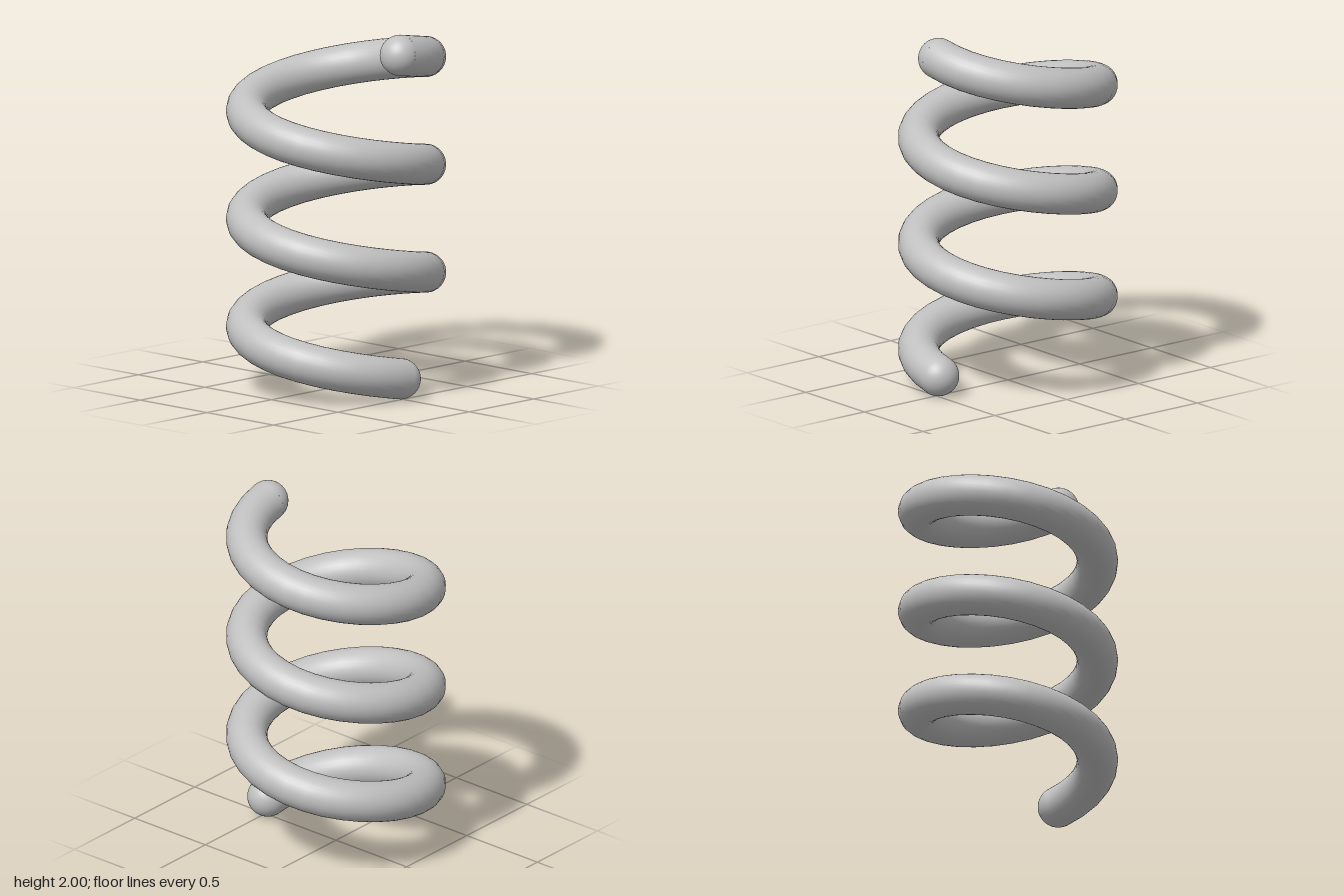
import * as THREE from 'three';

const COIL_RADIUS = 0.483;
const WIRE_RADIUS = 0.111;
const TURNS = 3;
const HEIGHT = 2;

// Helix rising from +x, turning first towards the front
class Helix extends THREE.Curve {
  getPoint(t, target = new THREE.Vector3()) {
    const angle = t * TURNS * Math.PI * 2;
    return target.set(
      COIL_RADIUS * Math.cos(angle),
      WIRE_RADIUS + t * (HEIGHT - 2 * WIRE_RADIUS),
      COIL_RADIUS * Math.sin(angle)
    );
  }
}

export function createModel() {
  const group = new THREE.Group();
  group.name = 'spring';
  const steel = new THREE.MeshStandardMaterial({ color: 0xc0c0c0 });
  steel.name = 'grey steel';

  // Coiled wire
  const path = new Helix();
  const coil = new THREE.Mesh(new THREE.TubeGeometry(path, 32 * TURNS, WIRE_RADIUS, 32), steel);
  coil.name = 'coil';
  group.add(coil);

  // Rounded wire ends: hemispheres pointing out along the wire
  const capGeometry = new THREE.SphereGeometry(WIRE_RADIUS, 32, 12, 0, Math.PI * 2, 0, Math.PI / 2);
  const up = new THREE.Vector3(0, 1, 0);
  for (const [name, t, sign] of [['bottomEnd', 0, -1], ['topEnd', 1, 1]]) {
    const cap = new THREE.Mesh(capGeometry, steel);
    cap.name = name;
    cap.position.copy(path.getPoint(t));
    cap.quaternion.setFromUnitVectors(up, path.getTangent(t).multiplyScalar(sign));
    group.add(cap);
  }
  return group;
}
